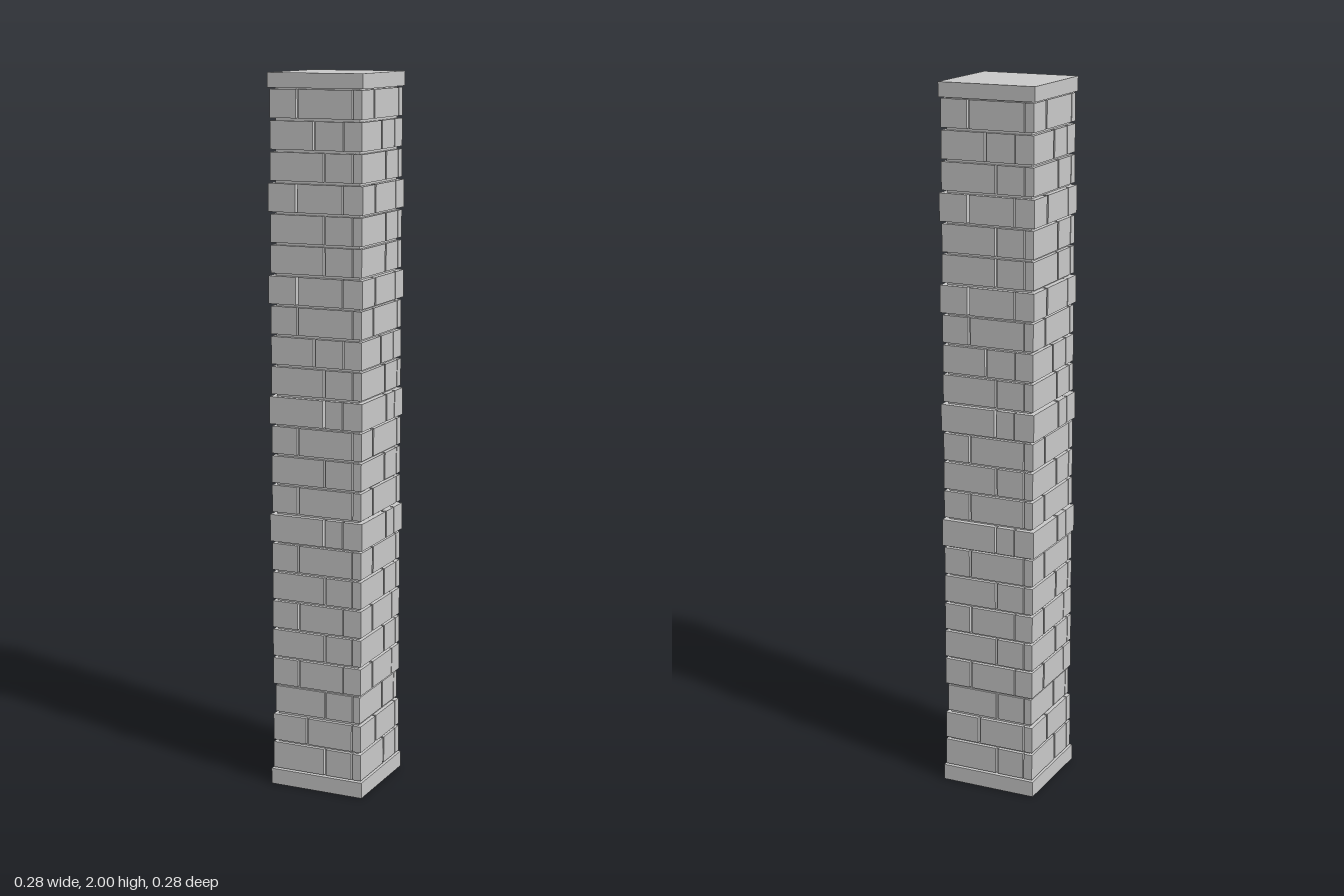
import * as THREE from 'three';

// Square brick pillar: base slab, 23 pinwheel-bonded courses around a mortar core, cap slab.
const BASE = 0.045, CAP = 0.04, COURSES = 23, GAP = 0.007;
const STEP = (2 - BASE - CAP) / COURSES;

// Per course: x of the joint between the two bricks, and x where the wall meets its neighbour
const A = [0.025, 0.11], B = [-0.055, 0.11], C = [-0.055, 0.083], D = [-0.005, 0.083], E = [0.025, 0.083], F = [-0.03, 0.11];
const BOND = [A, F, A, C, A, C, A, B, E, B, A, B, E, A, D, B, C, A, A, C, A, D, B];
const PROUD = [8, 12, 16, 19];
const RECESSED = [2];

export function createModel() {
  const group = new THREE.Group();
  const material = new THREE.MeshStandardMaterial({ color: 0xcccccc, flatShading: true });

  const box = (name, parent, x0, x1, y0, y1, z0, z1) => {
    const mesh = new THREE.Mesh(new THREE.BoxGeometry(x1 - x0, y1 - y0, z1 - z0), material);
    mesh.position.set((x0 + x1) / 2, (y0 + y1) / 2, (z0 + z1) / 2);
    mesh.name = name;
    parent.add(mesh);
  };

  // Slabs and recessed mortar core
  box('baseSlab', group, -0.14, 0.14, 0, BASE, -0.14, 0.14);
  box('capSlab', group, -0.14, 0.14, 2 - CAP, 2, -0.14, 0.14);
  box('mortarCore', group, -0.124, 0.124, BASE, 2 - CAP, -0.124, 0.124);

  // Each course is one wall of two bricks, turned to all four sides
  BOND.forEach(([joint, end], i) => {
    const half = PROUD.includes(i) ? 0.1395 : RECESSED.includes(i) ? 0.13 : 0.135;
    const y0 = BASE + i * STEP + GAP / 2, y1 = y0 + STEP - GAP;
    const course = new THREE.Group();
    course.name = `brickCourse${i + 1}`;
    for (let side = 0; side < 4; side++) {
      const wall = new THREE.Group();
      wall.name = 'brickWall';
      wall.rotation.y = side * Math.PI / 2;
      box('cornerBrick', wall, -half, joint - GAP / 2, y0, y1, end, half);
      box('innerBrick', wall, joint + GAP / 2, end - GAP / 2, y0, y1, end, half);
      course.add(wall);
    }
    group.add(course);
  });

  return group;
}
